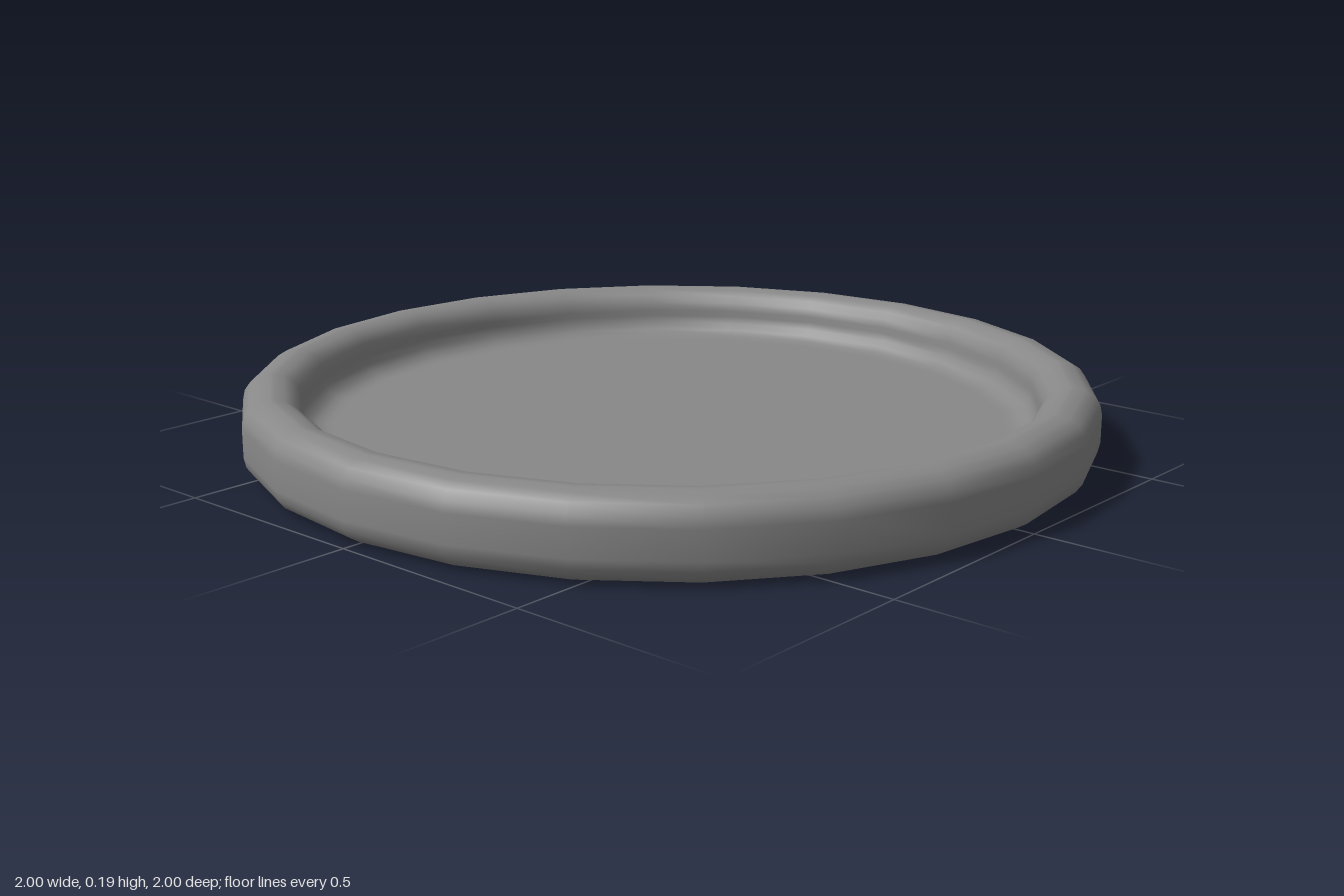
import * as THREE from 'three';

// Rounded corner: points on an arc about (cx, cy), angles in degrees
function arc(cx, cy, rx, ry, from, to, steps = 4) {
  const pts = [];
  for (let i = 0; i <= steps; i++) {
    const a = THREE.MathUtils.degToRad(from + (to - from) * i / steps);
    pts.push(new THREE.Vector2(cx + rx * Math.cos(a), cy + ry * Math.sin(a)));
  }
  return pts;
}

export function createModel() {
  const group = new THREE.Group();
  group.name = 'tray';
  const height = 0.185, floor = 0.065, sides = 24;

  // Cross-section from the underside centre, round the rim, to the floor centre
  const profile = [
    new THREE.Vector2(0, 0),
    new THREE.Vector2(0.92, 0),
    ...arc(0.935, 0.06, 0.065, 0.06, -90, 0),           // lower outer corner
    ...arc(0.935, height - 0.06, 0.065, 0.06, 0, 90),   // upper outer corner
    ...arc(0.925, height - 0.055, 0.06, 0.055, 90, 180), // inner lip
    ...arc(0.81, floor + 0.05, 0.055, 0.05, 0, -90),    // fillet into the floor
    new THREE.Vector2(0.79, floor),
    new THREE.Vector2(0, floor),
  ];

  const dish = new THREE.Mesh(
    new THREE.LatheGeometry(profile, sides),
    new THREE.MeshStandardMaterial({ color: 0x888888 })
  );
  dish.name = 'roundDish';
  group.add(dish);
  return group;
}
